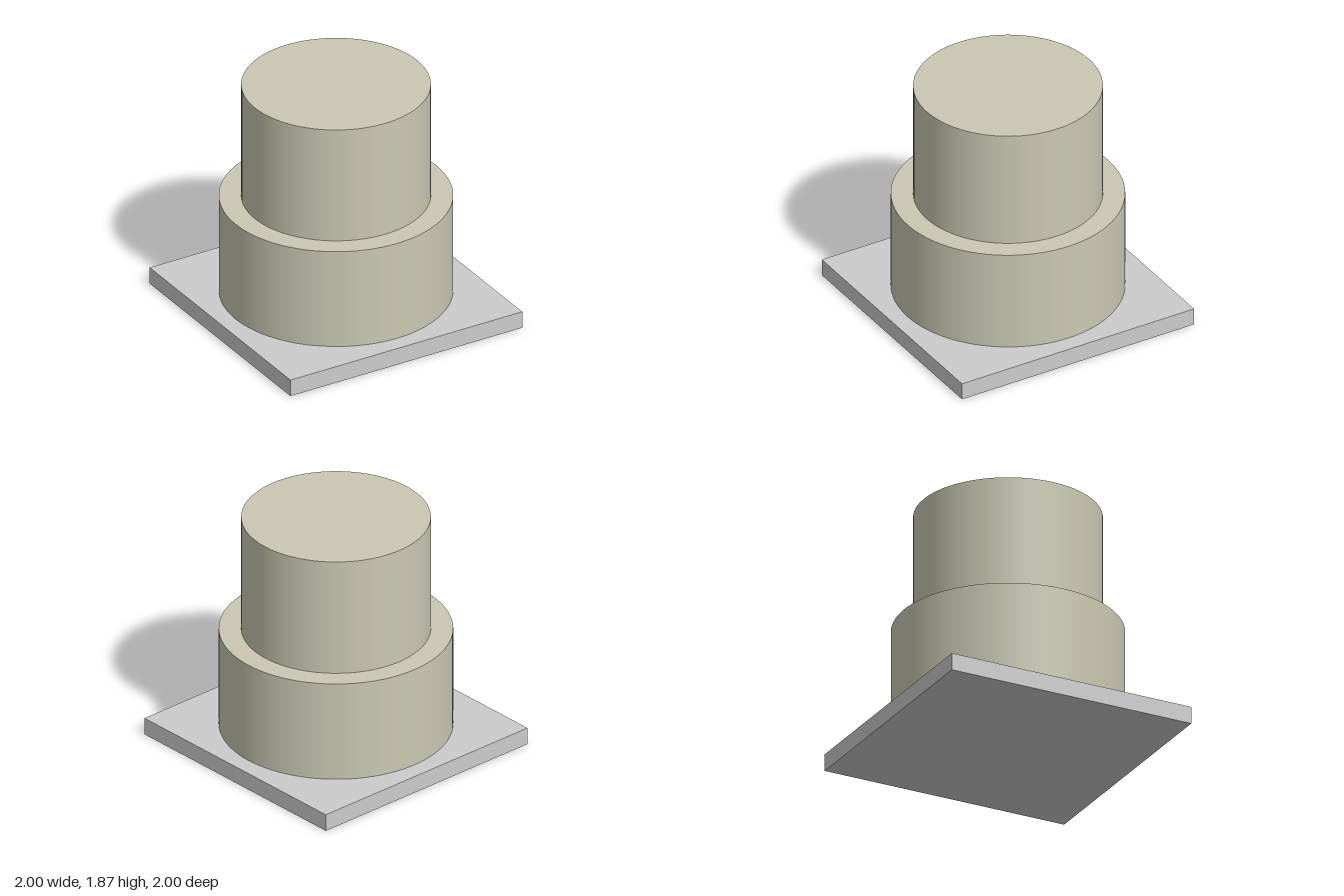
import * as THREE from 'three';

export function createModel() {
  const model = new THREE.Group();
  const grey = new THREE.MeshStandardMaterial({ color: 0xcccccc });
  const cream = new THREE.MeshStandardMaterial({ color: 0xcac8b2 });

  const add = (name, geometry, material, x, y, z) => {
    const mesh = new THREE.Mesh(geometry, material);
    mesh.name = name;
    mesh.position.set(x, y, z);
    model.add(mesh);
  };

  // Square board under the cake
  const boardTop = 0.135;
  add('cakeBoard', new THREE.BoxGeometry(2, boardTop, 2), grey, 0, boardTop / 2, 0);

  // Blank label lying on the front corner of the board, partly under the lower tier
  const label = new THREE.PlaneGeometry(0.48, 0.24).rotateX(-Math.PI / 2);
  add('blankLabel', label, grey, -0.64, boardTop + 0.001, 0.76);

  // Round tiers, stacked: [name, radius, bottom, top]
  const tiers = [
    ['lowerTier', 0.865, boardTop, 0.935],
    ['upperTier', 0.7, 0.935, 1.87],
  ];
  for (const [name, radius, bottom, top] of tiers) {
    const tier = new THREE.CylinderGeometry(radius, radius, top - bottom, 96);
    add(name, tier, cream, 0, (bottom + top) / 2, 0);
  }

  return model;
}
